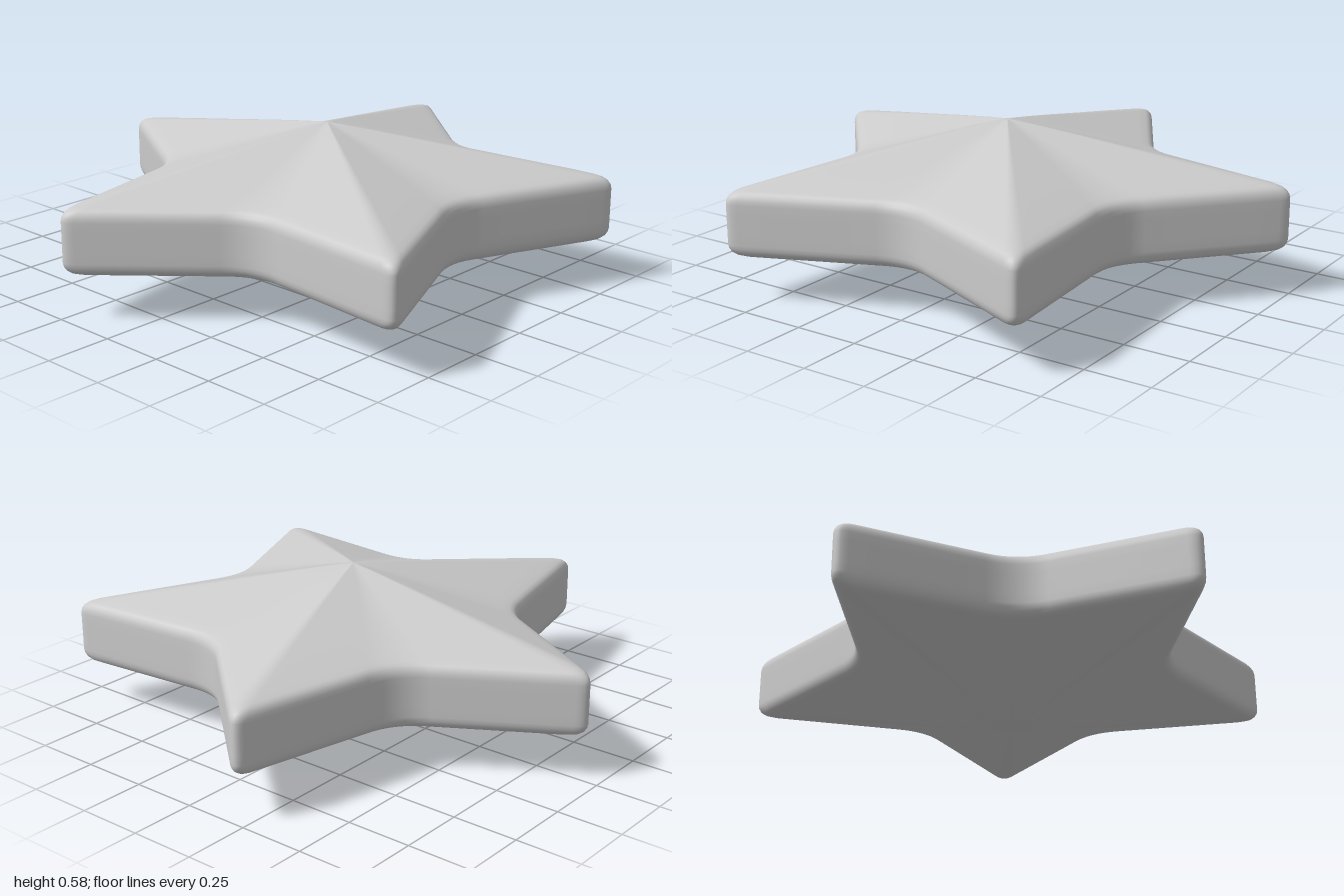
import * as THREE from 'three';

const CENTRE_Z = 0.1, MID_Y = 0.2925;

// Five-pointed outline with softly rounded tips and notches
function starOutline() {
  const corners = [];
  for (let k = 0; k < 10; k++) {
    const a = k * Math.PI / 5, r = k % 2 ? 1.08 : 0.6;
    corners.push(new THREE.Vector2(r * Math.sin(a), r * Math.cos(a)));
  }
  const points = [];
  corners.forEach((c, k) => {
    const round = k % 2 ? 0.07 : 0.12;
    const toward = (q, d) => c.clone().add(q.clone().sub(c).setLength(d));
    const prev = corners[(k + 9) % 10], next = corners[(k + 1) % 10];
    const start = toward(prev, round), end = toward(next, round);
    points.push(...new THREE.QuadraticBezierCurve(start, c, end).getPoints(8));
    // Extra points along the straight edge to the next corner
    const nextStart = next.clone().add(c.clone().sub(next).setLength(k % 2 ? 0.12 : 0.07));
    for (let i = 1; i < 6; i++) points.push(end.clone().lerp(nextStart, i / 6));
  });
  return points;
}

// Scaled copies of the outline, stacked from the lower apex to the upper apex
function starGeometry() {
  const outline = starOutline(), n = outline.length;
  const upper = [[1, 0], [1, 0.04], [1, 0.075], [0.997, 0.09], [0.988, 0.104], [0.973, 0.115],
    [0.95, 0.1225], [0.9, 0.133], [0.7, 0.17], [0.5, 0.206], [0.3, 0.243], [0.17, 0.266],
    [0.1, 0.278], [0.05, 0.286], [0.02, 0.2905], [0, 0.2925]];
  const lower = upper.slice(1).reverse().map(([s, h]) => [s, -h]);
  const rows = [...lower, ...upper], last = rows.length - 1;

  const positions = [], index = [];
  rows.forEach(([s, h], i) => {
    const ring = i === 0 || i === last ? [outline[0]] : outline;
    for (const p of ring) positions.push(p.x * s, MID_Y + h, CENTRE_Z + p.y * s);
  });
  const id = (i, j) => i === 0 ? 0 : i === last ? 1 + (last - 1) * n : 1 + (i - 1) * n + j % n;
  for (let i = 0; i < last; i++) {
    for (let j = 0; j < n; j++) {
      if (i > 0) index.push(id(i, j), id(i, j + 1), id(i + 1, j + 1));
      if (i < last - 1) index.push(id(i, j), id(i + 1, j + 1), id(i + 1, j));
      // Close the two apexes with single triangles
      if (i === last - 1) continue;
    }
  }
  const geometry = new THREE.BufferGeometry();
  geometry.setAttribute('position', new THREE.Float32BufferAttribute(positions, 3));
  geometry.setIndex(index);
  geometry.computeVertexNormals();
  return geometry;
}

export function createModel() {
  const group = new THREE.Group();
  group.name = 'star';
  const body = new THREE.Mesh(starGeometry(), new THREE.MeshStandardMaterial({ color: 0xcccccc }));
  body.name = 'starBody';
  group.add(body);
  return group;
}
